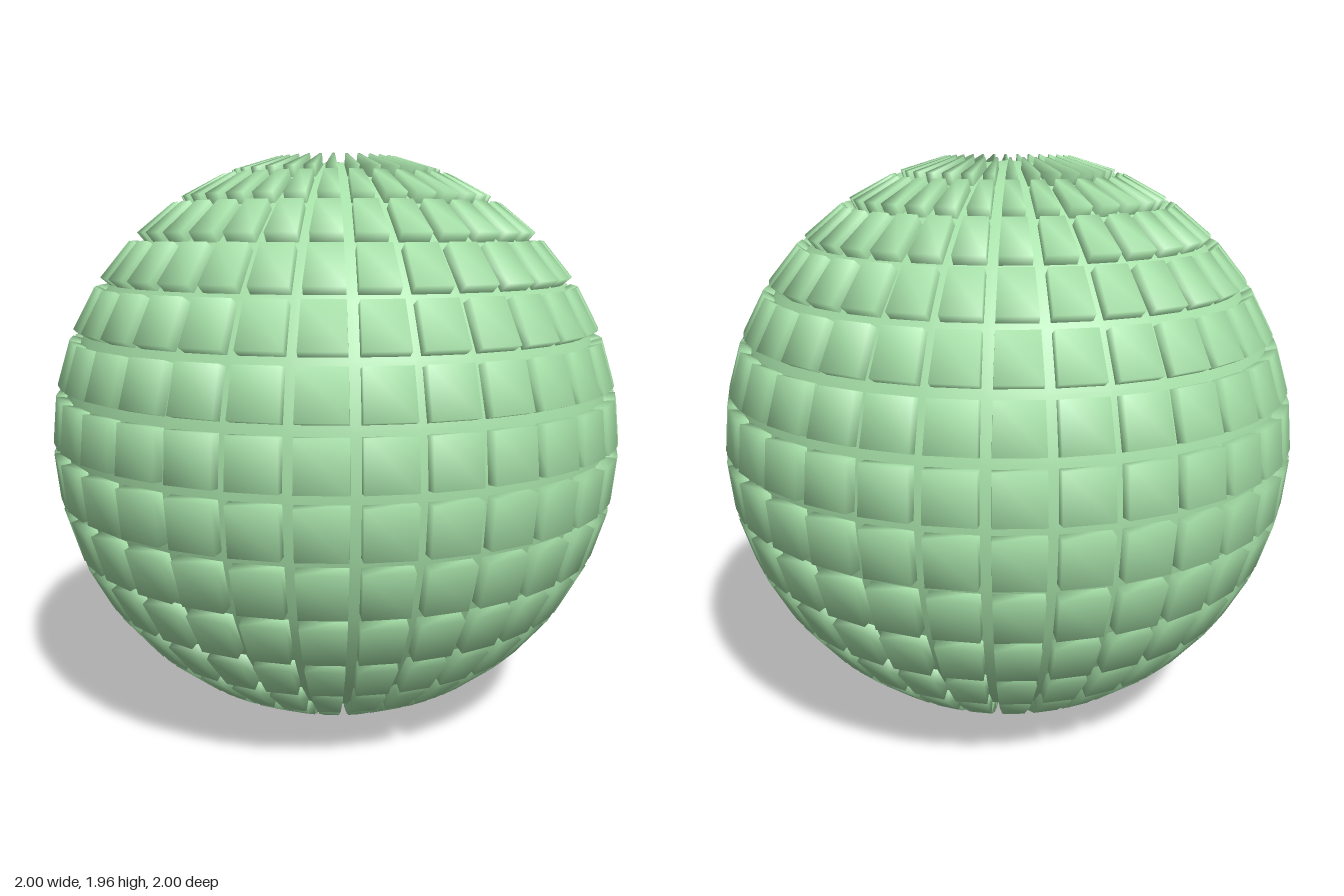
import * as THREE from 'three';
import { mergeGeometries } from 'three/addons/utils/BufferGeometryUtils.js';

const COLUMNS = 32, ROWS = 16;
const RADIUS = 0.964;   // core sphere, seen in the grooves
const INSET = 0.016;    // half a groove
const RAISE = 0.04;     // tile thickness
const HALF = Math.PI / COLUMNS;

// One raised tile over the sphere facet of a row, facing +z, with soft shading over its edges
function tileGeometry(row) {
  const ring = (i) => {
    const a = (i * Math.PI) / ROWS, r = RADIUS * Math.sin(a);
    return { mid: new THREE.Vector3(0, RADIUS * Math.cos(a), r * Math.cos(HALF)), half: r * Math.sin(HALF) };
  };
  const top = ring(row), bottom = ring(row + 1);
  const down = bottom.mid.clone().sub(top.mid);
  const length = down.length();
  const normal = down.clone().normalize().cross(new THREE.Vector3(1, 0, 0)).normalize();
  if (normal.dot(top.mid) < 0) normal.negate();
  const sideInset = INSET * Math.hypot(1, (bottom.half - top.half) / length);

  // Inset outline, counter-clockwise from outside: first at the core, then raised
  const positions = [];
  for (const lift of [-0.005, RAISE]) {
    for (const [side, t] of [[-1, INSET / length], [-1, 1 - INSET / length], [1, 1 - INSET / length], [1, INSET / length]]) {
      const p = top.mid.clone().addScaledVector(down, t).addScaledVector(normal, lift);
      p.x = side * (THREE.MathUtils.lerp(top.half, bottom.half, t) - sideInset);
      positions.push(p.x, p.y, p.z);
    }
  }
  const index = [4, 5, 6, 4, 6, 7];
  for (let i = 0; i < 4; i++) {
    const j = (i + 1) % 4;
    index.push(i, j, j + 4, i, j + 4, i + 4);
  }
  const geometry = new THREE.BufferGeometry();
  geometry.setAttribute('position', new THREE.Float32BufferAttribute(positions, 3));
  geometry.setIndex(index);
  geometry.computeVertexNormals();
  return geometry;
}

export function createModel() {
  const model = new THREE.Group();
  model.name = 'tiledSphere';
  const material = new THREE.MeshStandardMaterial({ color: 0xa6e0a8 });

  // Smooth core with plain polar caps
  const core = new THREE.Mesh(new THREE.SphereGeometry(RADIUS, COLUMNS, ROWS), material);
  core.name = 'core';
  model.add(core);

  // Rings of raised tiles, leaving the poles open
  for (let row = 1; row < ROWS - 1; row++) {
    const tile = tileGeometry(row);
    const tiles = [];
    for (let c = 0; c < COLUMNS; c++) tiles.push(tile.clone().rotateY((2 * c + 1) * HALF));
    const ring = new THREE.Mesh(mergeGeometries(tiles), material);
    ring.name = `tileRing${row}`;
    model.add(ring);
  }

  // Stand the lowest tiles on the ground
  model.position.y = -new THREE.Box3().setFromObject(model, true).min.y;
  return model;
}
